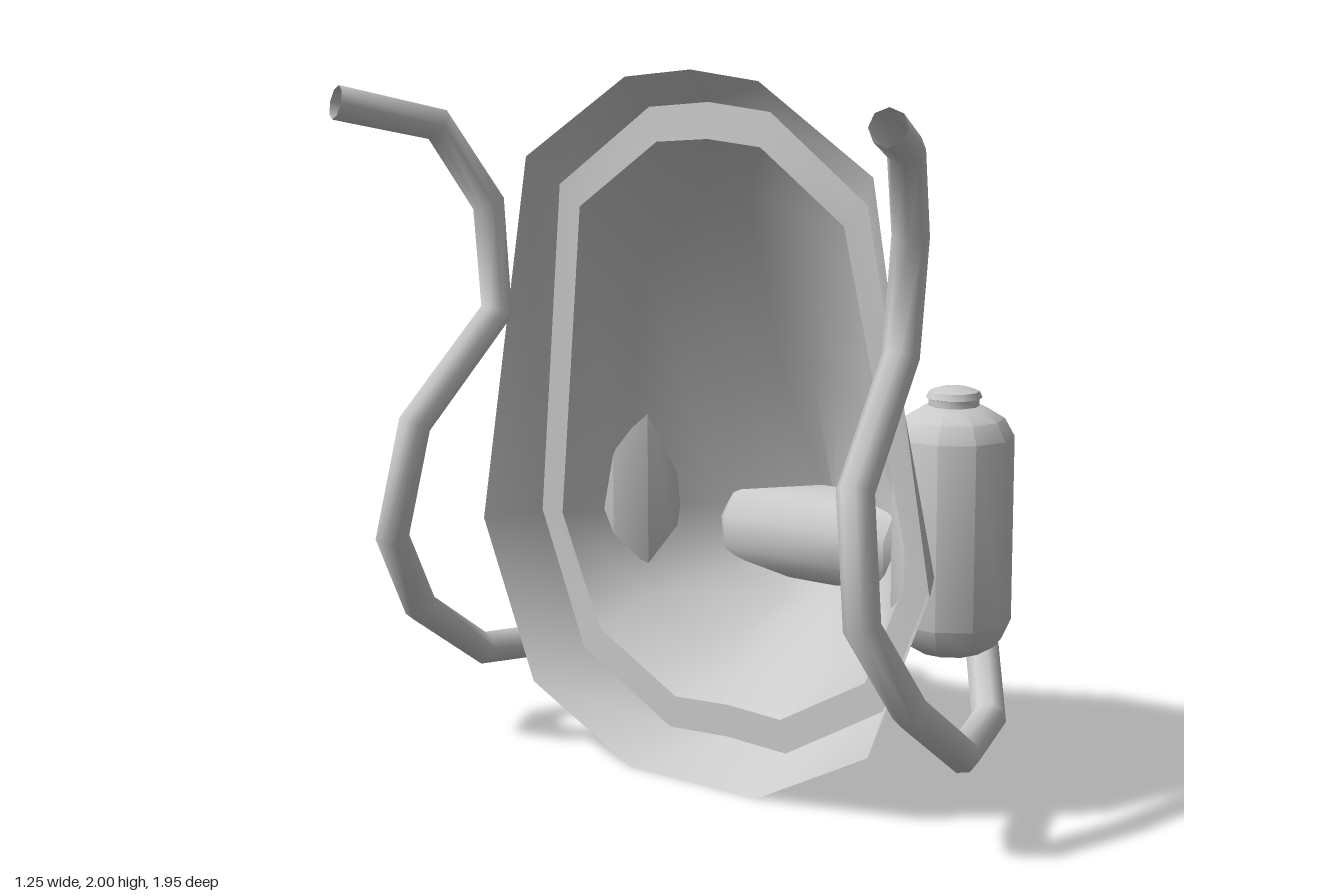
import * as THREE from 'three';
import { toCreasedNormals } from 'three/addons/utils/BufferGeometryUtils.js';

const material = new THREE.MeshStandardMaterial({ color: 0xcccccc, side: THREE.DoubleSide });

function addMesh(parent, name, geometry) {
  const mesh = new THREE.Mesh(geometry, material);
  mesh.name = name;
  parent.add(mesh);
  return mesh;
}

// Half outlines run from top centre to bottom centre as [x, y, z]
const outerEdge = [[-0.19, 2, 0], [-0.19, 1.975, 0.23], [-0.19, 1.74, 0.6], [-0.19, 0.66, 0.79],
  [-0.19, 0.19, 0.6], [-0.19, 0, 0.23], [-0.19, 0, 0]];
const rimFront = [[-0.11, 1.91, 0], [-0.11, 1.89, 0.21], [-0.12, 1.66, 0.535], [-0.03, 0.67, 0.7],
  [-0.03, 0.27, 0.54], [-0.03, 0.085, 0.21], [-0.03, 0.095, 0]];
const rimInner = [[-0.115, 1.81, 0], [-0.115, 1.795, 0.18], [-0.12, 1.6, 0.46], [-0.03, 0.67, 0.62],
  [-0.03, 0.34, 0.48], [-0.03, 0.18, 0.19], [-0.03, 0.19, 0]];
const domeMiddle = [[0.06, 1.64, 0], [0.055, 1.61, 0.16], [0.07, 1.43, 0.37], [0.15, 0.67, 0.53],
  [0.13, 0.42, 0.41], [0.12, 0.27, 0.16], [0.12, 0.27, 0]];
const domeFront = [[0.37, 1.13, 0], [0.355, 1.11, 0.1], [0.34, 1.01, 0.22], [0.37, 0.67, 0.33],
  [0.35, 0.49, 0.25], [0.36, 0.42, 0.1], [0.37, 0.41, 0]];
const domeTip = domeFront.map(() => [0.5, 0.69, 0]);

// Mirrors a half outline into a closed ring
function fullRing(half) {
  return half.concat(half.slice(1, -1).reverse().map(([x, y, z]) => [x, y, -z]));
}

// Skins a surface over successive half outlines
function loft(halves) {
  const rings = halves.map(fullRing), n = rings[0].length, index = [];
  for (let r = 0; r < rings.length - 1; r++) {
    for (let i = 0; i < n; i++) {
      const a = r * n + i, b = r * n + (i + 1) % n;
      index.push(a, b, a + n, b, b + n, a + n);
    }
  }
  const geometry = new THREE.BufferGeometry();
  geometry.setAttribute('position', new THREE.Float32BufferAttribute(rings.flat(2), 3));
  geometry.setIndex(index);
  geometry.computeVertexNormals();
  return geometry;
}

function lathe(points, sides) {
  const profile = points.map(([r, y]) => new THREE.Vector2(r, y));
  return toCreasedNormals(new THREE.LatheGeometry(profile, sides), 0.66);
}

// Straight runs with mitred joints, one tube section per point
class BentPath extends THREE.Curve {
  constructor(points) {
    super();
    this.points = points;
  }
  getPoint(t, target = new THREE.Vector3()) {
    const u = t * (this.points.length - 1);
    const i = Math.min(Math.floor(u + 1e-6), this.points.length - 2);
    return target.lerpVectors(this.points[i], this.points[i + 1], u - i);
  }
  getPointAt(t, target) {
    return this.getPoint(t, target);
  }
  getTangentAt(t, target = new THREE.Vector3()) {
    const p = this.points, i = Math.round(t * (p.length - 1));
    target.set(0, 0, 0);
    if (i > 0) target.add(p[i].clone().sub(p[i - 1]).normalize());
    if (i < p.length - 1) target.add(p[i + 1].clone().sub(p[i]).normalize());
    return target.normalize();
  }
}

const hosePoints = [[-0.61, 1.9, 0.93], [-0.34, 1.83, 0.8], [-0.21, 1.6, 0.73], [-0.21, 1.29, 0.705],
  [-0.495, 0.99, 0.765], [-0.54, 0.66, 0.82], [-0.39, 0.42, 0.865], [-0.13, 0.235, 0.86],
  [0.21, 0.23, 0.73], [0.41, 0.37, 0.58], [0.49, 0.56, 0.49], [0.478, 0.595, 0.41]];

const tankProfile = [[0, 0.385], [0.09, 0.39], [0.14, 0.42], [0.168, 0.48], [0.168, 1], [0.14, 1.05],
  [0.09, 1.08], [0.07, 1.085], [0.07, 1.105], [0.078, 1.107], [0.07, 1.125], [0.04, 1.135], [0, 1.137]];

const barProfile = [[0, -0.43], [0.072, -0.43], [0.072, -0.35], [0.1, -0.345], [0.152, -0.29],
  [0.152, 0.29], [0.1, 0.345], [0.072, 0.35], [0.072, 0.43], [0, 0.43]];

export function createModel() {
  const model = new THREE.Group();
  model.name = 'breathingMask';

  // Hollow shell with a stepped rim
  const shell = new THREE.Group();
  shell.name = 'shell';
  model.add(shell);
  addMesh(shell, 'rimSide', loft([outerEdge, rimFront]));
  addMesh(shell, 'rimFace', loft([rimFront, rimInner]));
  addMesh(shell, 'dome', loft([rimInner, domeMiddle, domeFront, domeTip]));

  // Horizontal canister across the tip
  const bar = addMesh(model, 'crossCanister', lathe(barProfile, 10));
  bar.rotation.x = Math.PI / 2;
  bar.position.set(0.475, 0.595, 0);

  // Upright tank and bent hose on each side
  for (const side of [1, -1]) {
    const label = side > 0 ? 'Near' : 'Far';
    const tank = addMesh(model, 'tank' + label, lathe(tankProfile, 10));
    tank.position.set(0.25, 0, side * 0.575);

    const path = new BentPath(hosePoints.map(([x, y, z]) => new THREE.Vector3(x, y, side * z)));
    addMesh(model, 'hose' + label, new THREE.TubeGeometry(path, hosePoints.length - 1, 0.049, 8, false));
  }
  return model;
}
